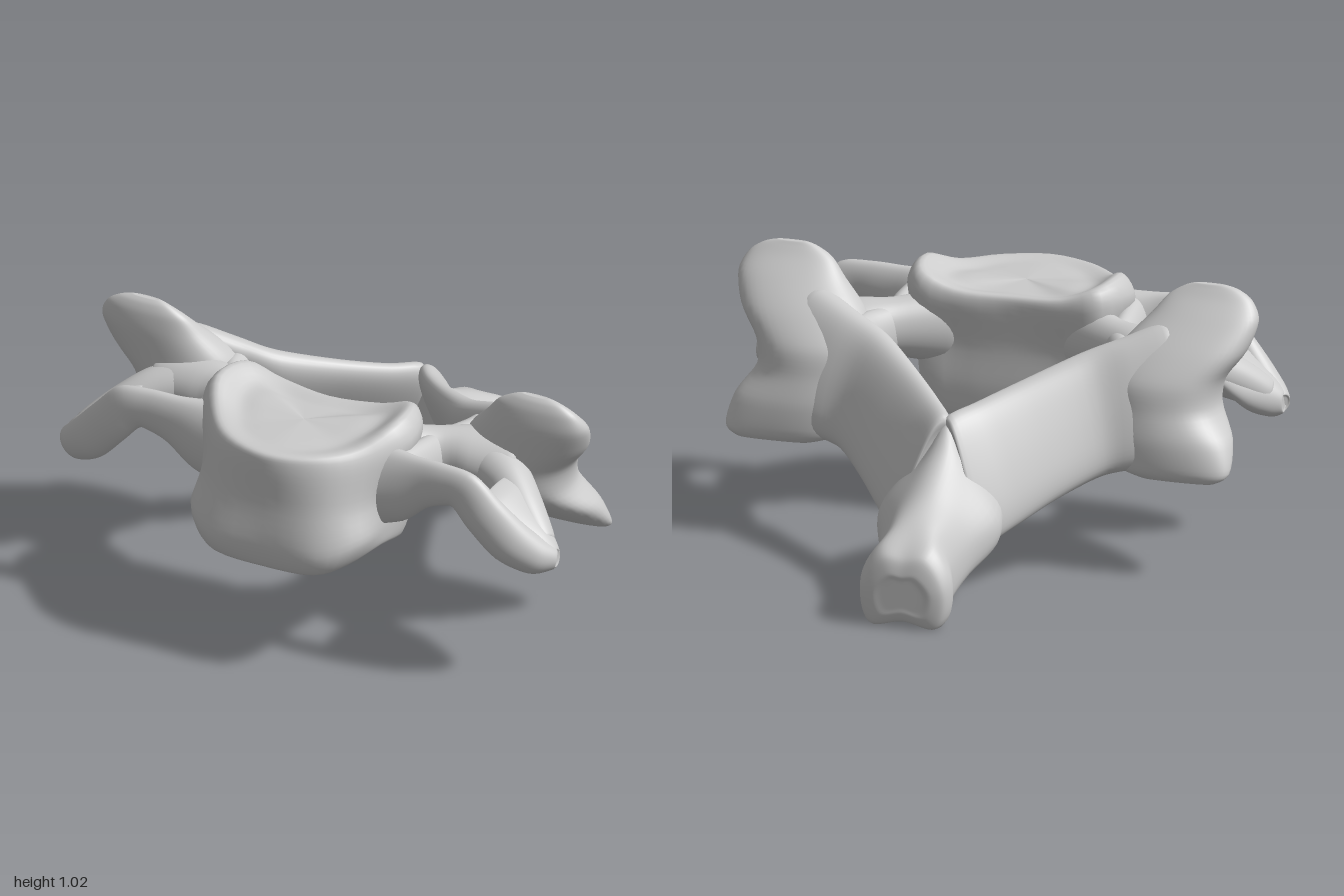
import * as THREE from 'three';

const V = (x, y, z) => new THREE.Vector3(x, y, z);
const material = new THREE.MeshStandardMaterial({ color: 0xcccccc });

// Smaller copy of a ring, used to close the ends of a loft
function shrink(ring, s) {
  const c = ring.reduce((a, p) => a.add(p), V(0, 0, 0)).divideScalar(ring.length);
  return ring.map(p => c.clone().lerp(p, s));
}

// Smooth closed skin through rings that share the same point count
function loft(rings, around = 48, steps = 5) {
  const first = rings[0], last = rings[rings.length - 1];
  const all = [shrink(first, 0.001), shrink(first, 0.65), ...rings, shrink(last, 0.65), shrink(last, 0.001)];
  const dense = all.map(r => {
    const curve = new THREE.CatmullRomCurve3(r, true, 'catmullrom', 0.5);
    return Array.from({ length: around }, (_, i) => curve.getPoint(i / around));
  });
  const rows = (all.length - 1) * steps;
  const columns = Array.from({ length: around }, (_, i) =>
    new THREE.CatmullRomCurve3(dense.map(r => r[i]), false, 'catmullrom', 0.45));
  const pos = [], index = [];
  for (let j = 0; j <= rows; j++) {
    for (const c of columns) pos.push(...c.getPoint(j / rows).toArray());
  }
  for (let j = 0; j < rows; j++) {
    for (let i = 0; i < around; i++) {
      const a = j * around + i, b = j * around + (i + 1) % around;
      index.push(a, b, a + around, b, b + around, a + around);
    }
  }
  // The signed volume tells whether the faces point outward
  let volume = 0;
  const at = k => V(pos[3 * k], pos[3 * k + 1], pos[3 * k + 2]);
  for (let k = 0; k < index.length; k += 3) {
    volume += at(index[k]).dot(at(index[k + 1]).cross(at(index[k + 2])));
  }
  if (volume < 0) index.reverse();
  const g = new THREE.BufferGeometry();
  g.setAttribute('position', new THREE.Float32BufferAttribute(pos, 3));
  g.setIndex(index);
  g.computeVertexNormals();
  return g;
}

// Rounded ring about centre c with half axes u and v; e < 1 makes it squarer
function oval(c, u, v, e = 1) {
  const pw = t => Math.sign(t) * Math.abs(t) ** e;
  return Array.from({ length: 12 }, (_, i) => {
    const a = i / 12 * Math.PI * 2;
    return c.clone().addScaledVector(u, pw(Math.cos(a))).addScaledVector(v, pw(Math.sin(a)));
  });
}

// Full ring from a half outline running from centreline to centreline
const symmetric = half => [
  ...half.map(p => V(...p)),
  ...half.slice(1, -1).reverse().map(([x, y, z]) => V(-x, y, z)),
];

// Limb from stations [x, y, z, half height, half thickness]
function limb(stations) {
  const pts = stations.map(s => V(s[0], s[1], s[2]));
  return stations.map((s, i) => {
    const dir = pts[Math.min(i + 1, pts.length - 1)].clone().sub(pts[Math.max(i - 1, 0)]).normalize();
    const side = dir.clone().cross(V(0, 1, 0)).normalize();
    const up = side.clone().cross(dir);
    return oval(pts[i], up.multiplyScalar(s[3]), side.multiplyScalar(s[4]));
  });
}

export function createModel() {
  const model = new THREE.Group();
  model.name = 'vertebra';
  const add = (name, rings) => {
    const m = new THREE.Mesh(loft(rings), material);
    m.name = name;
    model.add(m);
  };
  const addPair = (name, rings) => {
    add('left' + name, rings);
    add('right' + name, rings.map(r => r.map(p => V(-p.x, p.y, p.z))));
  };

  // Body: stacked outlines, front to back, ending in a shallow top with raised side lips
  add('vertebralBody', [
    [[0, .413, .84], [.18, .42, .83], [.27, .445, .76], [.29, .44, .6], [.26, .405, .44], [.14, .4, .41], [0, .4, .4]],
    [[0, .41, .875], [.2, .42, .87], [.30, .45, .79], [.335, .45, .6], [.31, .395, .4], [.18, .39, .365], [0, .39, .36]],
    [[0, .5, .89], [.22, .5, .885], [.345, .54, .78], [.35, .52, .6], [.34, .5, .38], [.2, .5, .355], [0, .5, .35]],
    [[0, .66, .87], [.2, .66, .845], [.32, .66, .74], [.36, .66, .58], [.35, .66, .36], [.2, .66, .36], [0, .66, .36]],
    [[0, .81, .87], [.19, .81, .82], [.32, .81, .7], [.42, .84, .53], [.36, .85, .34], [.2, .81, .33], [0, .81, .35]],
    [[0, .86, .855], [.17, .86, .80], [.29, .87, .68], [.365, .93, .53], [.33, .92, .37], [.2, .87, .345], [0, .857, .365]],
    [[0, .855, .78], [.13, .852, .74], [.21, .853, .65], [.27, .875, .53], [.25, .875, .43], [.14, .85, .42], [0, .848, .43]],
  ].map(symmetric));

  // Front bar of the side wing, raised into a ridge and dropping to the tip
  addPair('WingFrontBar', limb([
    [.26, .69, .57, .17, .11], [.39, .71, .59, .145, .075], [.50, .75, .605, .10, .045],
    [.60, .767, .61, .082, .04], [.68, .76, .615, .085, .04], [.76, .68, .61, .085, .05],
    [.85, .585, .585, .085, .06], [.93, .525, .54, .07, .06], [.985, .51, .505, .04, .035],
  ]));

  // Outer gutter plate beside the opening in the wing
  addPair('WingPlate', [
    [.735, .69, .48, .05, .16], [.80, .645, .48, .075, .17], [.88, .57, .49, .085, .125],
    [.95, .53, .50, .07, .07], [.99, .515, .50, .04, .03],
  ].map(([x, y, z, h, d]) => oval(V(x, y, z), V(0, h, 0), V(0, 0, d))));

  // Rear bar of the side wing
  addPair('WingRearBar', limb([
    [.60, .70, .27, .11, .11], [.72, .68, .345, .09, .085], [.82, .62, .42, .08, .075], [.92, .55, .485, .06, .055],
  ]));

  // Pedicle between body and articular pillar
  addPair('Pedicle', limb([
    [.26, .70, .44, .14, .10], [.42, .71, .33, .11, .085], [.54, .71, .28, .11, .12], [.70, .69, .25, .12, .13],
  ]));

  // Inner wall joining the pillar, pedicle and front bar beside the canal
  addPair('InnerWall', limb([
    [.50, .68, .08, .11, .06], [.48, .69, .20, .11, .065], [.425, .70, .32, .10, .06],
    [.415, .71, .44, .11, .06], [.40, .71, .58, .12, .06],
  ]));

  // Articular pillar: level slices [y, x0, x1, z0, z1]
  addPair('ArticularPillar', [
    [.365, .62, .90, -.05, -.01], [.40, .52, .95, -.065, .06], [.50, .46, .935, -.06, .20],
    [.60, .45, .87, -.035, .31], [.70, .45, .88, -.01, .325], [.80, .49, .95, .06, .325],
    [.90, .58, .98, .155, .325], [.965, .635, .95, .22, .315], [1.0, .69, .90, .25, .30],
    [1.015, .73, .85, .262, .285],
  ].map(([y, x0, x1, z0, z1]) =>
    oval(V((x0 + x1) / 2, y, (z0 + z1) / 2), V((x1 - x0) / 2, 0, 0), V(0, 0, (z1 - z0) / 2), .88)));

  // Lamina: leaning sheet given by its upper and lower edges and half thickness
  const along = V(.68, 0, .73);
  addPair('Lamina', [
    [[.64, .88, .17], [.70, .41, .01], .085], [[.50, .83, .11], [.58, .385, -.03], .085],
    [[.37, .78, .05], [.48, .36, -.07], .075], [[.20, .71, -.11], [.36, .305, -.21], .06],
    [[.075, .66, -.25], [.25, .235, -.34], .055], [[0, .63, -.36], [.15, .18, -.46], .055],
  ].map(([a, b, t]) => {
    const upper = V(...a), lower = V(...b);
    const half = upper.clone().sub(lower).multiplyScalar(.5);
    const normal = half.clone().cross(along).normalize().multiplyScalar(t);
    return oval(upper.add(lower).multiplyScalar(.5), half, normal, .8);
  }));

  // Rear spine: ridged sections [z, half outline], notched at the tip
  add('rearSpine', [
    [-.35, [[0, .62], [.06, .52], [.19, .35], [.17, .26], [0, .28]]],
    [-.45, [[0, .515], [.1, .44], [.225, .29], [.19, .175], [0, .21]]],
    [-.60, [[0, .415], [.1, .36], [.17, .24], [.15, .115], [0, .14]]],
    [-.73, [[0, .35], [.09, .32], [.145, .2], [.13, .06], [0, .08]]],
    [-.82, [[0, .295], [.1, .285], [.17, .17], [.145, .018], [0, .035]]],
    [-.87, [[0, .25], [.085, .25], [.155, .14], [.125, .005], [0, .02]]],
    [-.888, [[0, .2], [.06, .2], [.115, .13], [.09, .04], [0, .05]]],
  ].map(([z, half]) => symmetric(half.map(([x, y]) => [x, y, z]))));

  return model;
}
